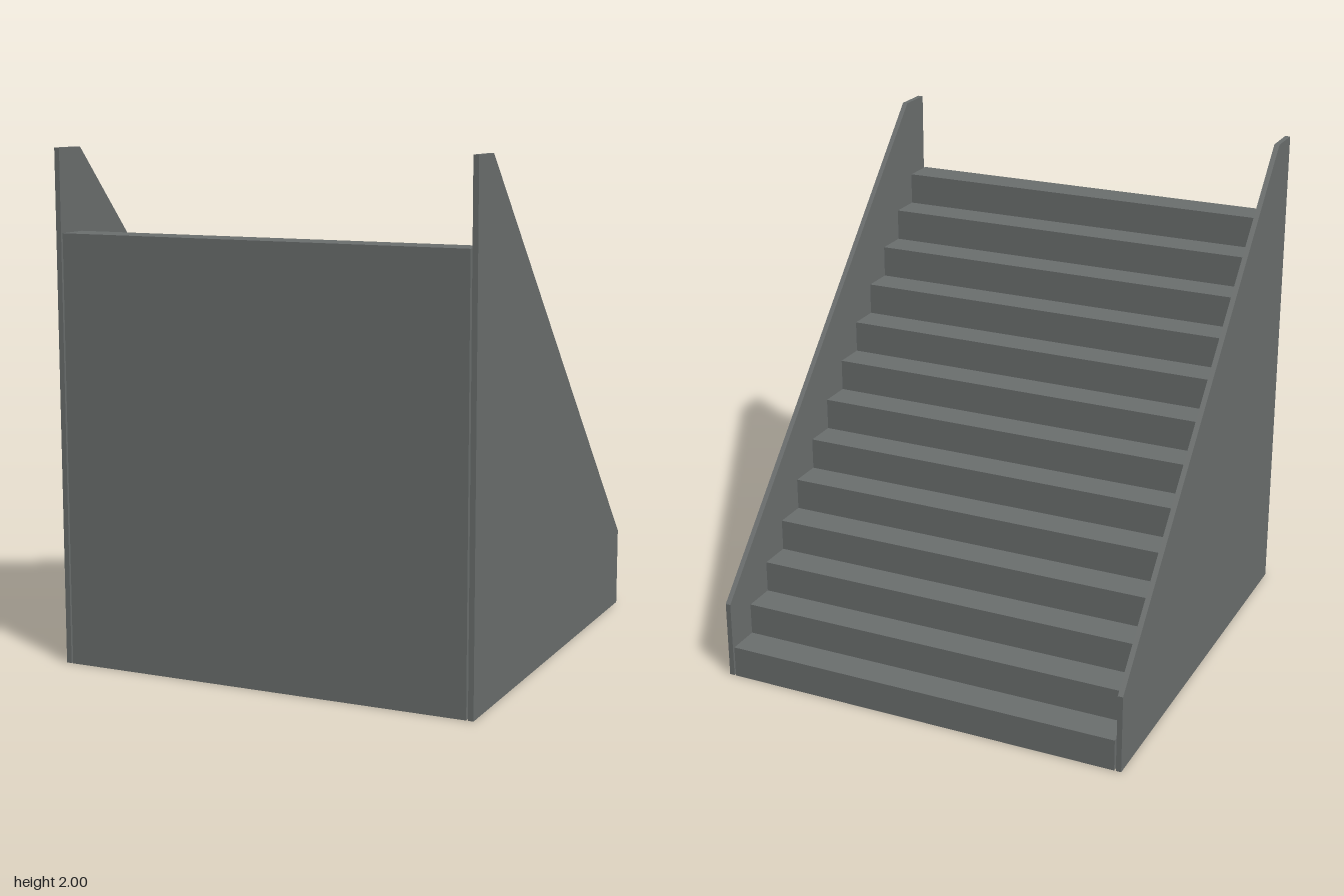
import * as THREE from 'three';

const DEPTH = 1.74, STEPS = 13, STAIR_HEIGHT = 1.68;
const STAIR_WIDTH = 1.644, PANEL_INNER = 0.829, PANEL_THICKNESS = 0.021;

// Extrude a side profile of [z, y] points across x, starting at x0
function extrudeAcross(profile, x0, width) {
  const shape = new THREE.Shape(profile.map(([z, y]) => new THREE.Vector2(-z, y)));
  const geometry = new THREE.ExtrudeGeometry(shape, { depth: width, bevelEnabled: false });
  geometry.rotateY(Math.PI / 2);
  geometry.translate(x0, 0, 0);
  return geometry;
}

export function createModel() {
  const group = new THREE.Group();
  group.name = 'staircase';
  const stone = new THREE.MeshStandardMaterial({ color: 0x6b6f6e });
  stone.name = 'grey stone';

  const add = (name, geometry) => {
    const mesh = new THREE.Mesh(geometry, stone);
    mesh.name = name;
    group.add(mesh);
  };

  // Solid flight of steps, rising from the back (-z) to the front (+z)
  const half = DEPTH / 2;
  const stairs = [[half, 0], [-half, 0]];
  for (let i = 0; i < STEPS; i++) {
    const z = -half + (i * DEPTH) / STEPS;
    const y = ((i + 1) * STAIR_HEIGHT) / STEPS;
    stairs.push([z, y], [z + DEPTH / STEPS, y]);
  }
  add('steps', extrudeAcross(stairs, -STAIR_WIDTH / 2, STAIR_WIDTH));

  // Sloping side walls, a hair's breadth clear of the steps
  const wall = [[half, 0], [-half, 0], [-half, 0.32], [0.725, 2], [half, 2]];
  add('leftWall', extrudeAcross(wall, PANEL_INNER, PANEL_THICKNESS));
  add('rightWall', extrudeAcross(wall, -PANEL_INNER - PANEL_THICKNESS, PANEL_THICKNESS));

  return group;
}
